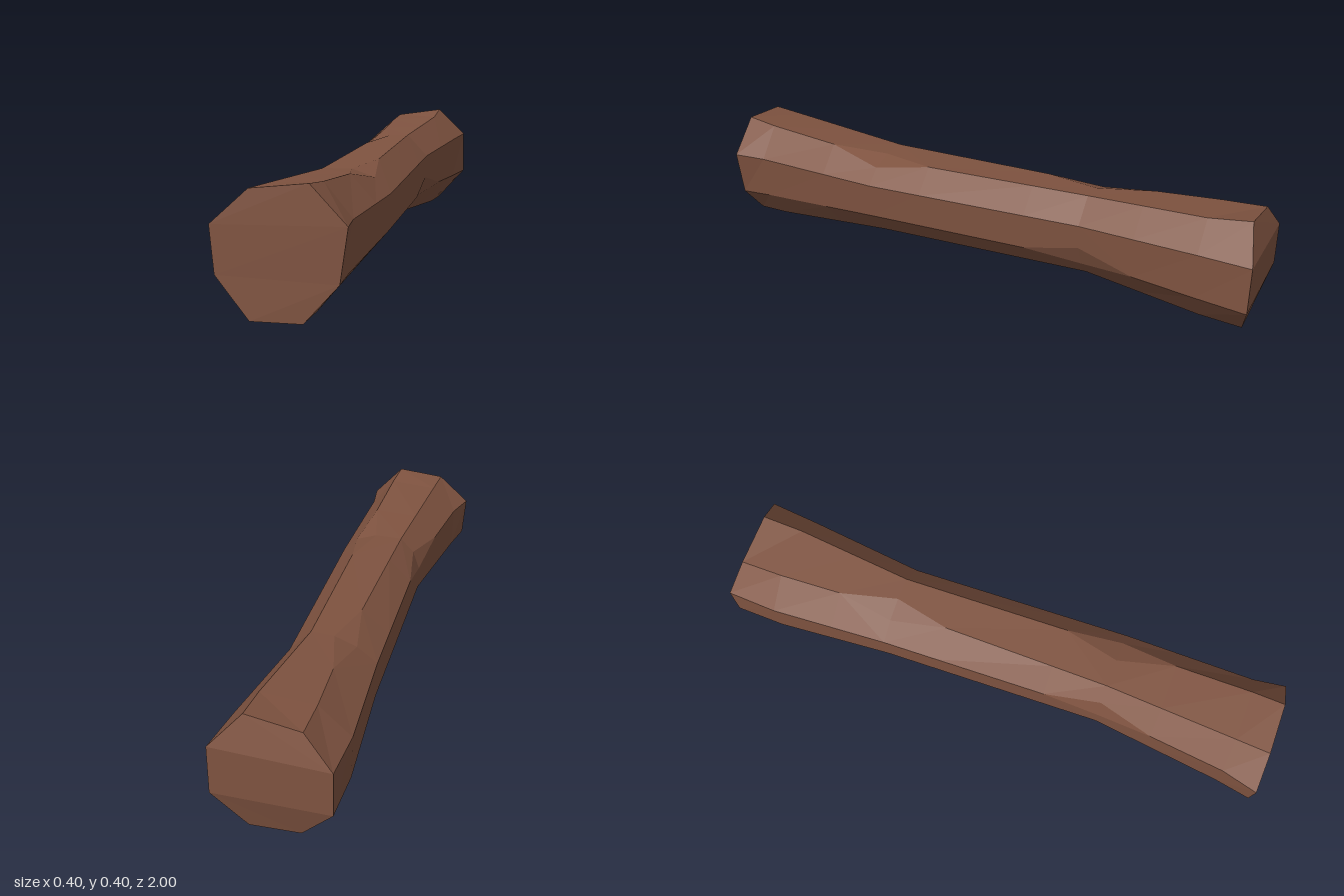
import * as THREE from 'three';

// Octagonal cross-sections from front to back.
// Corners [x, y, optional z], anticlockwise from the top on the +x side.
const SECTIONS = [
  { z: 1, p: [[.09, .4, .985], [-.085, .38, .99], [-.2, .275], [-.187, .13], [-.085, .002], [.07, .002, .99], [.175, .12, .985], [.2, .285, .985]] },
  { z: .87, p: [[.097, .387], [-.078, .373], [-.17, .278], [-.165, .127], [-.075, .006], [.075, .006], [.17, .125], [.183, .282]] },
  { z: .4, p: [[.1, .348], [-.05, .344], [-.125, .268], [-.122, .145], [-.04, .05], [.09, .05], [.172, .145], [.18, .27]] },
  { z: -.4, p: [[.06, .356], [-.06, .348], [-.165, .27], [-.16, .145], [-.07, .05], [.045, .05], [.13, .145], [.137, .275]] },
  { z: -.82, p: [[.085, .382], [-.095, .366], [-.2, .272], [-.195, .125], [-.085, .01], [.075, .01], [.168, .128], [.172, .288]] },
  { z: -1, p: [[.08, .4, -.965], [-.1, .372, -.97], [-.195, .27], [-.193, .12], [-.085, .008, -.97], [.08, .004, -.97], [.187, .125], [.185, .29]] },
];

// Small chips cut from the long edges
const CHIPS = [
  { z: .4, corner: 0 }, { z: .4, corner: 2 },
  { z: -.4, corner: 1 }, { z: -.4, corner: 6 },
];

function ringAt(z) {
  let k = 0;
  while (k < SECTIONS.length - 2 && z < SECTIONS[k + 1].z) k++;
  const a = SECTIONS[k], b = SECTIONS[k + 1];
  const t = (a.z - z) / (a.z - b.z);
  const point = (s, i) => new THREE.Vector3(s.p[i][0], s.p[i][1], s.p[i][2] ?? s.z);
  return a.p.map((_, i) => point(a, i).lerp(point(b, i), t));
}

// Each corner becomes two points, which part only where a chip is cut
function chippedRing(z) {
  const ring = ringAt(z);
  return ring.flatMap((p, i) => {
    const cut = CHIPS.some(c => c.z === z && c.corner === i) ? .34 : 0;
    return [p.clone().lerp(ring[(i + 7) % 8], cut), p.clone().lerp(ring[(i + 1) % 8], cut)];
  });
}

function facetedGeometry(triangles) {
  const points = triangles.filter(([a, b, c]) =>
    b.clone().sub(a).cross(c.clone().sub(a)).length() > 1e-7).flat();
  const geometry = new THREE.BufferGeometry().setFromPoints(points);
  geometry.computeVertexNormals();
  return geometry;
}

function barkGeometry() {
  const rings = [1, .87, .6, .4, .2, -.2, -.4, -.6, -.82, -1].map(chippedRing);
  const tris = [];
  for (let k = 0; k < rings.length - 1; k++) {
    const a = rings[k], b = rings[k + 1];
    for (let i = 0; i < 16; i++) {
      const j = (i + 1) % 16;
      // keep the diagonals running towards the sharp edges of each chip
      if (CHIPS.some(c => c.corner * 2 + 1 === i && Math.abs(c.z - a[i].z) < .01)) {
        tris.push([a[i], b[i], a[j]], [a[j], b[i], b[j]]);
      } else {
        tris.push([a[i], b[i], b[j]], [a[i], b[j], a[j]]);
      }
    }
  }
  return facetedGeometry(tris);
}

// Slightly folded end made of three strips
function endGeometry(z, flip) {
  const r = ringAt(z);
  const tris = [[0, 1, 2, 7], [7, 2, 3, 6], [6, 3, 4, 5]].flatMap(([a, b, c, d]) =>
    [[r[a], r[b], r[c]], [r[a], r[c], r[d]]]);
  return facetedGeometry(flip ? tris.map(([a, b, c]) => [a, c, b]) : tris);
}

export function createModel() {
  const group = new THREE.Group();
  group.name = 'log';
  const wood = new THREE.MeshStandardMaterial({ color: 0x7f5340 });
  wood.name = 'brown wood';
  const add = (name, geometry) => {
    const mesh = new THREE.Mesh(geometry, wood);
    mesh.name = name;
    group.add(mesh);
  };
  add('trunk', barkGeometry());
  add('frontEnd', endGeometry(1, false));
  add('backEnd', endGeometry(-1, true));
  return group;
}
